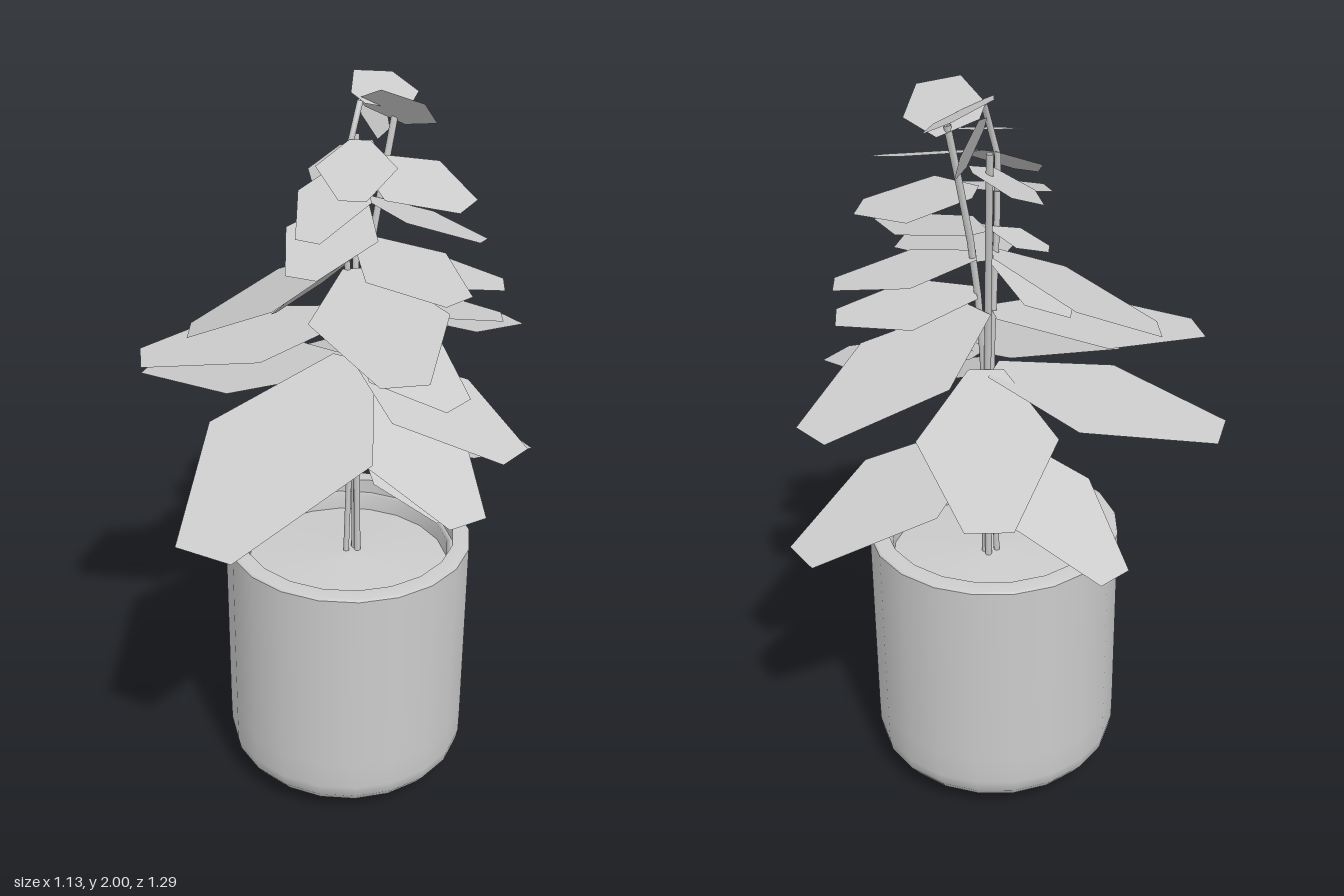
import * as THREE from 'three';

const V = (a) => new THREE.Vector3(...a);
const grey = new THREE.MeshStandardMaterial({ color: 0xcccccc, side: THREE.DoubleSide });
const leafMat = new THREE.MeshStandardMaterial({ color: 0xcccccc, side: THREE.DoubleSide, flatShading: true });

// Flat six-cornered blade: narrow base, wide middle, blunt tip; roll turns it about its length
function leaf(base, tip, width, roll = 0, tipRatio = 0.33) {
  const d = tip.clone().sub(base);
  const side = d.clone().cross(new THREE.Vector3(0, 1, 0)).normalize();
  side.applyAxisAngle(d.clone().normalize(), roll);
  const pos = [];
  for (const [t, w] of [[0, 0.26], [0.46, 1], [1, tipRatio]]) {
    for (const s of [-0.5, 0.5]) {
      pos.push(...base.clone().addScaledVector(d, t).addScaledVector(side, s * w * width));
    }
  }
  const g = new THREE.BufferGeometry();
  g.setAttribute('position', new THREE.Float32BufferAttribute(pos, 3));
  g.setIndex([0, 1, 3, 0, 3, 2, 2, 3, 5, 2, 5, 4]);
  g.computeVertexNormals();
  const m = new THREE.Mesh(g, leafMat);
  m.name = 'leaf';
  return m;
}

// Leaf growing out from the stem: heading in degrees (0 = front, 90 = left), longer leaves are wider
function stemLeaf(heading, reach, tipY, fall, roll) {
  const a = THREE.MathUtils.degToRad(heading);
  const at = (r, y) => new THREE.Vector3(0.05 + r * Math.sin(a), y, -0.12 + r * Math.cos(a));
  return leaf(at(0.02, tipY + fall), at(reach, tipY), 0.05 + 0.55 * reach, roll);
}

function lathe(points, name) {
  const g = new THREE.LatheGeometry(points.map(([r, y]) => new THREE.Vector2(r, y)), 20);
  const m = new THREE.Mesh(g, grey);
  m.name = name;
  return m;
}

function stem(points) {
  const curve = new THREE.CatmullRomCurve3(points.map(V));
  const m = new THREE.Mesh(new THREE.TubeGeometry(curve, 8, 0.009, 6), grey);
  m.name = 'stem';
  return m;
}

export function createModel() {
  const model = new THREE.Group();

  // Pot: rounded foot, straight wall, thick rim with an inner ledge
  const pot = new THREE.Group();
  pot.name = 'pot';
  pot.position.set(0.055, 0, -0.075);
  pot.add(
    lathe([[0, 0], [0.14, 0.001], [0.2, 0.007], [0.26, 0.027], [0.31, 0.055], [0.333, 0.085], [0.34, 0.12],
      [0.341, 0.2], [0.341, 0.75]], 'potWall'),
    lathe([[0.341, 0.75], [0.336, 0.757], [0.295, 0.757]], 'potRim'),
    lathe([[0.295, 0.757], [0.295, 0.715]], 'potInnerWall'),
    lathe([[0.295, 0.715], [0.28, 0.715], [0.28, 0.64]], 'potLedge'),
    lathe([[0.28, 0.665], [0.15, 0.675], [0, 0.685]], 'soil'),
  );
  model.add(pot);

  // Stems rising close together and parting towards the top
  const stems = new THREE.Group();
  stems.name = 'stems';
  stems.add(
    stem([[0.04, 0.67, -0.09], [0.045, 1.2, -0.1], [0.03, 1.86, -0.09], [0.03, 1.95, -0.15]]),
    stem([[0.065, 0.67, -0.11], [0.06, 1.2, -0.11], [0.07, 1.55, -0.14], [0.09, 1.91, -0.22]]),
    stem([[0.05, 0.67, -0.12], [0.045, 1.25, -0.12], [-0.01, 1.85, -0.2]]),
  );
  model.add(stems);

  // Leaf tiers: each leaf has heading, reach, tip height, fall from base to tip, and roll
  const tiers = {
    lowLeaves: [
      [-110, 0.47, 0.83, 0.23], [81, 0.31, 0.9, 0.17], [151, 0.56, 0.88, 0.19],
    ],
    broadLeaves: [
      [3, 0.765, 1.08, 0.2], [-79, 0.615, 1.15, 0.1], [82, 0.51, 1.155, 0.13],
      [63, 0.52, 1.03, 0.2], [-152, 0.545, 1.095, 0.16],
    ],
    middleLeaves: [
      [158, 0.545, 1.25, 0.17], [-51, 0.57, 1.305, 0.1], [-60, 0.445, 1.345, 0.22],
      [42, 0.55, 1.455, 0.08], [119, 0.375, 1.4, 0.06, -0.12], [119, 0.375, 1.49, 0.07],
      [-58, 0.22, 1.4, 0.15, 0.4], [74, 0.37, 1.27, 0.1, 0.15],
    ],
    upperLeaves: [
      [70, 0.38, 1.56, 0.05, 0.06], [-68, 0.16, 1.58, 0.05], [99, 0.33, 1.65, 0.07, -0.2],
      [8, 0.355, 1.63, 0.09], [85, 0.32, 1.76, 0.06, 0.2], [4, 0.275, 1.69, 0.13],
      [27, 0.27, 1.8, 0.07],
    ],
  };
  for (const [name, list] of Object.entries(tiers)) {
    const tier = new THREE.Group();
    tier.name = name;
    for (const args of list) tier.add(stemLeaf(...args));
    model.add(tier);
  }

  // Crown: blunt leaves turned in different ways
  const crown = new THREE.Group();
  crown.name = 'crownLeaves';
  crown.add(
    leaf(V([0.02, 1.82, -0.24]), V([-0.11, 1.74, -0.14]), 0.22, 0, 0.5),
    leaf(V([0, 1.92, -0.2]), V([-0.01, 1.86, -0.36]), 0.15, 1.2, 0.5),
    leaf(V([0.03, 1.96, -0.14]), V([0.035, 1.95, -0.37]), 0.18, 0.45, 0.5),
    leaf(V([0.02, 1.94, -0.175]), V([0.215, 1.94, -0.175]), 0.17, -0.75, 0.55),
  );
  model.add(crown);

  return model;
}
